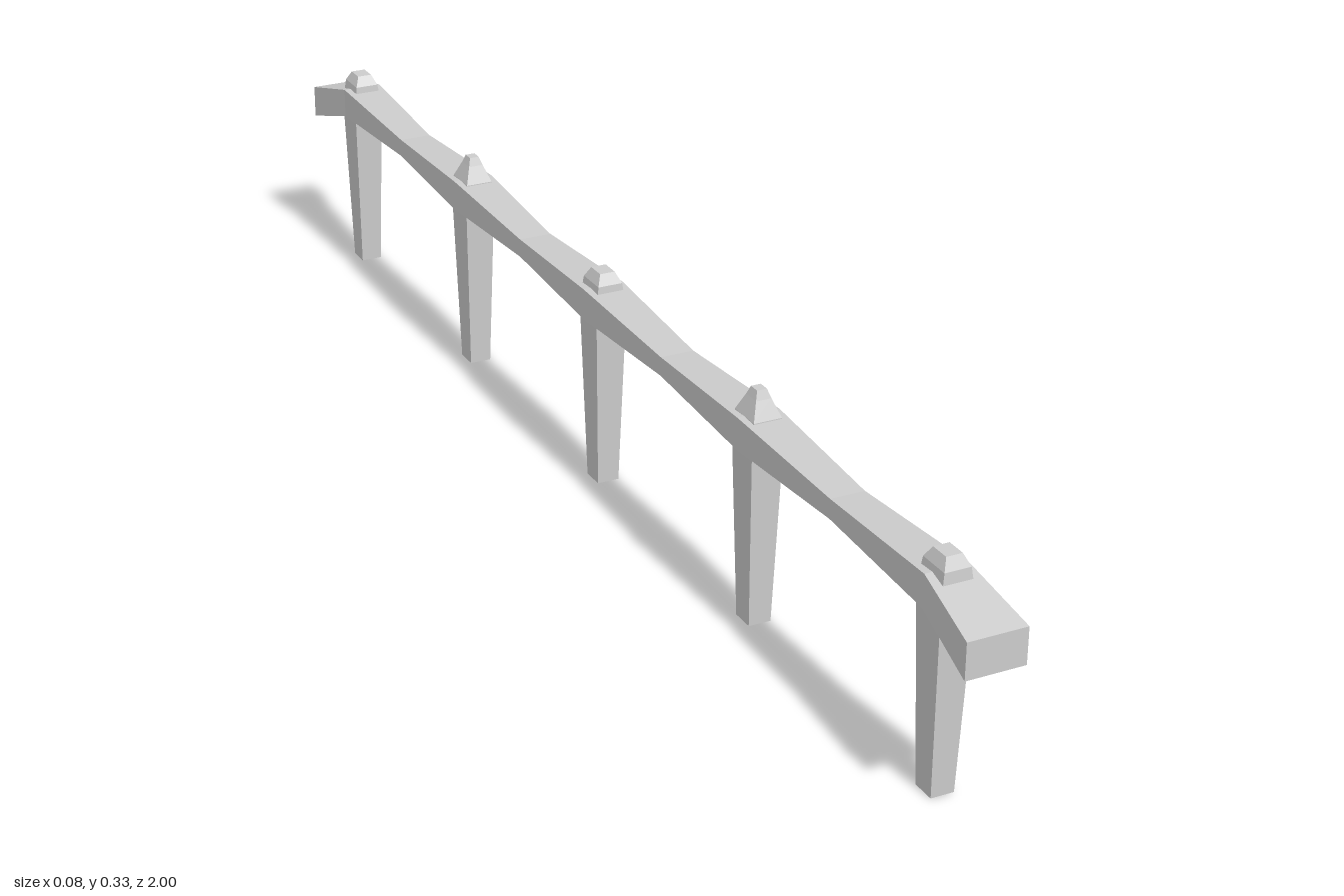
import * as THREE from 'three';

const material = new THREE.MeshStandardMaterial({ color: 0xcccccc, flatShading: true, side: THREE.DoubleSide });

// Closed solid through rectangular rings of four corners each
function loft(rings, name) {
  const pos = rings.flat(2), idx = [];
  for (let i = 0; i < rings.length - 1; i++) {
    for (let k = 0; k < 4; k++) {
      const a = i * 4 + k, b = i * 4 + (k + 1) % 4;
      idx.push(a, b, b + 4, a, b + 4, a + 4);
    }
  }
  const e = (rings.length - 1) * 4;
  idx.push(0, 2, 1, 0, 3, 2, e, e + 1, e + 2, e, e + 2, e + 3);
  const indexed = new THREE.BufferGeometry();
  indexed.setAttribute('position', new THREE.Float32BufferAttribute(pos, 3));
  indexed.setIndex(idx);
  const geometry = indexed.toNonIndexed();
  geometry.computeVertexNormals();
  const mesh = new THREE.Mesh(geometry, material);
  mesh.name = name;
  return mesh;
}

// Horizontal ring at height y, counter-clockwise seen from above
const level = (y, hx, hz) => [[-hx, y, hz], [hx, y, hz], [hx, y, -hz], [-hx, y, -hz]];
// Upright ring across the rail at depth z
const section = (z, hx, y0, y1) => [[-hx, y0, z], [hx, y0, z], [hx, y1, z], [-hx, y1, z]];

export function createModel() {
  const model = new THREE.Group();
  const spacing = 0.445;

  // Rail: thick at the posts, thin at mid-span, flared drooping ends
  const rings = [section(-1, 0.041, 0.216, 0.266)];
  for (let i = -4; i <= 4; i++) {
    const z = i * spacing / 2;
    rings.push(i % 2 ? section(z, 0.024, 0.257, 0.284) : section(z, 0.03, 0.25, 0.295));
  }
  rings.push(section(1, 0.041, 0.216, 0.266));
  model.add(loft(rings, 'rail'));

  for (let i = -2; i <= 2; i++) {
    // Tapered post
    const post = loft([level(0, 0.016, 0.017), level(0.275, 0.023, 0.027)], 'post');
    // Cap on the rail: alternately low and peaked
    const cap = loft(i % 2
      ? [level(0.275, 0.022, 0.026), level(0.295, 0.02, 0.025), level(0.319, 0.011, 0.013), level(0.331, 0.007, 0.008)]
      : [level(0.275, 0.022, 0.026), level(0.304, 0.018, 0.023), level(0.319, 0.011, 0.014)], 'postCap');
    post.position.z = cap.position.z = i * spacing;
    model.add(post, cap);
  }
  return model;
}
